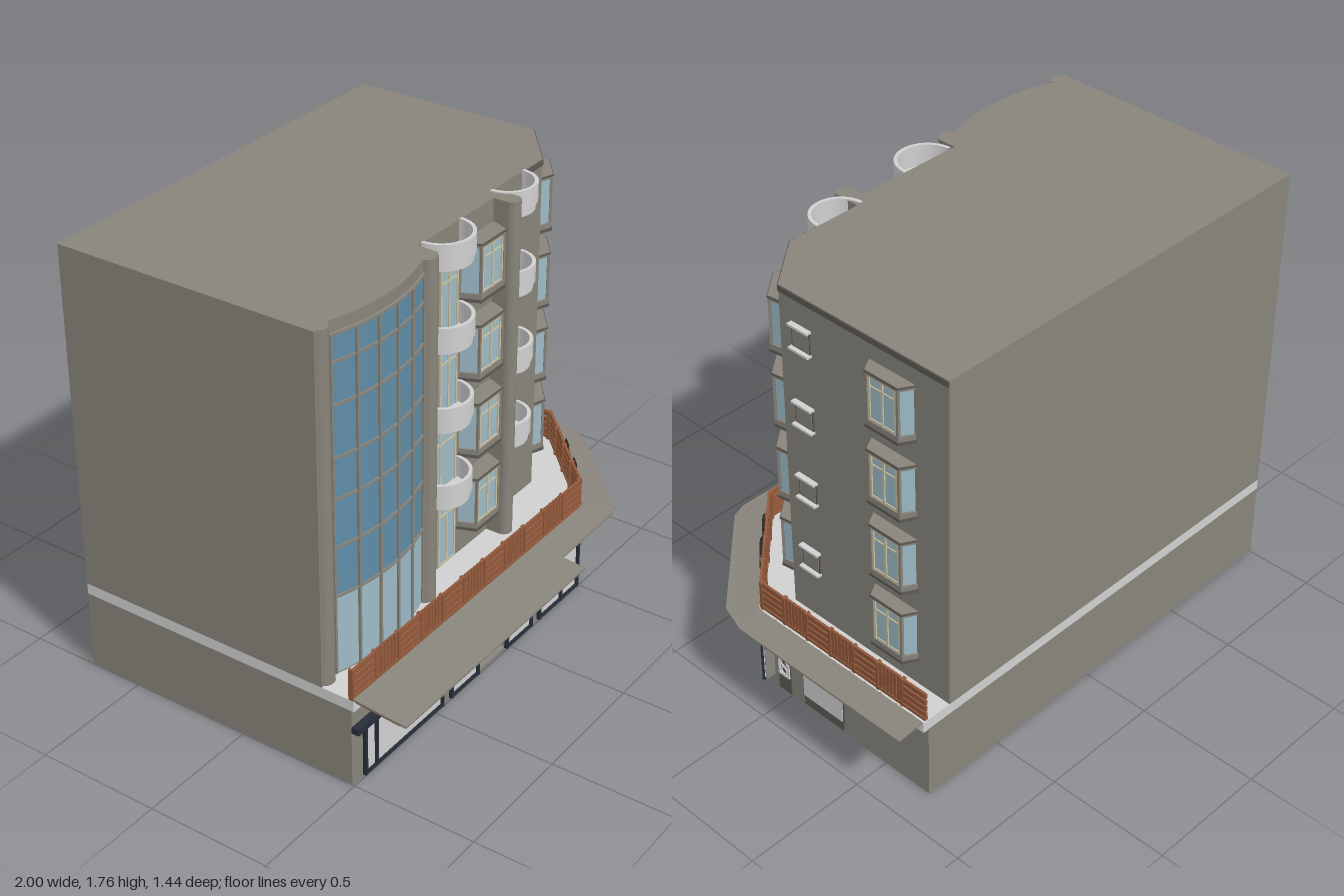
import * as THREE from 'three';

const paint = (name, color) => {
  const m = new THREE.MeshStandardMaterial({ color });
  m.name = name;
  return m;
};

export function createModel() {
  const wall = paint('wall stone', 0x88847b), pale = paint('pale grey', 0xd0d0d0);
  const deepGlass = paint('deep glass', 0x5f8ca6), lightGlass = paint('light glass', 0x9dbac6);
  const wood = paint('wood', 0x935a3c), navy = paint('navy frame', 0x272e3a);
  const beige = paint('beige frame', 0xcbc2a2), trim = paint('dark trim', 0x5d5a54);
  const dark = paint('dark metal', 0x2f2824);
  const root = new THREE.Group();
  root.name = 'cornerBuilding';

  const add = (parent, name, geo, mat, x = 0, y = 0, z = 0) => {
    const m = new THREE.Mesh(geo, mat);
    m.name = name;
    m.position.set(x, y, z);
    parent.add(m);
    return m;
  };
  // Box given by its extents in x, y and z
  const block = (parent, name, mat, x0, x1, y0, y1, z0, z1) =>
    add(parent, name, new THREE.BoxGeometry(x1 - x0, y1 - y0, z1 - z0), mat, (x0 + x1) / 2, (y0 + y1) / 2, (z0 + z1) / 2);
  // Vertical prism over a plan outline of [x, z] points
  const prismGeo = (pts, y0, y1) => {
    const g = new THREE.ExtrudeGeometry(new THREE.Shape(pts.map(([x, z]) => new THREE.Vector2(x, -z))), { depth: y1 - y0, bevelEnabled: false });
    return g.rotateX(-Math.PI / 2).translate(0, y0, 0);
  };
  const prism = (parent, name, mat, pts, y0, y1) => add(parent, name, prismGeo(pts, y0, y1), mat);
  // Group whose local x runs along a wall from a to b, local z pointing outwards
  const along = (name, a, b) => {
    const g = new THREE.Group();
    g.name = name;
    g.position.set(a[0], 0, a[1]);
    g.rotation.y = Math.atan2(a[1] - b[1], b[0] - a[0]);
    g.userData.length = Math.hypot(b[0] - a[0], b[1] - a[1]);
    root.add(g);
    return g;
  };
  const bar = (parent, name, mat, p, q, r) => {
    const a = new THREE.Vector3(...p), d = new THREE.Vector3(...q).sub(a);
    const m = add(parent, name, new THREE.CylinderGeometry(r, r, d.length(), 6), mat);
    m.position.copy(a).addScaledVector(d, 0.5);
    m.quaternion.setFromUnitVectors(new THREE.Vector3(0, 1, 0), d.normalize());
  };

  // Ground floor with door niche and side recess
  prism(root, 'groundFloor', wall, [[-1, -0.72], [-1, 0.49], [-0.22, 0.49], [-0.22, 0.38], [-0.02, 0.38], [-0.02, 0.49],
    [0.49, 0.49], [0.865, 0.13], [0.78, 0.13], [0.78, 0.085], [0.855, 0.085], [0.855, -0.72]], 0.004, 0.325);
  block(root, 'nicheFloor', wall, -0.22, -0.02, 0.002, 0.008, 0.38, 0.49);
  block(root, 'nicheLintel', wall, -0.22, -0.02, 0.24, 0.325, 0.38, 0.49);
  block(root, 'nicheDoor', lightGlass, -0.22, -0.02, 0.008, 0.24, 0.38, 0.386);
  block(root, 'floorHatch', deepGlass, -0.9, -0.56, 0, 0.005, -0.13, 0.07);
  prism(root, 'terraceSlab', pale, [[-1, -0.72], [-1, 0.5], [0.5, 0.5], [0.88, 0.13], [0.88, -0.72]], 0.323, 0.37);

  // Upper floors with a bowed front section
  const bowZ = x => 0.355 + 0.045 * (1 - ((x + 0.655) / 0.265) ** 2);
  const bow = (off, rev) => {
    const p = Array.from({ length: 17 }, (_, i) => -0.92 + 0.53 * i / 16).map(x => [x, bowZ(x) + off]);
    return rev ? p.reverse() : p;
  };
  prism(root, 'upperFloors', wall, [[-1, -0.72], [-1, 0.365], ...bow(0), [-0.31, 0.36], [-0.31, 0.28], [0.155, 0.28],
    [0.155, 0.34], [0.22, 0.34], [0.22, 0.24], [0.54, 0.24], [0.75, 0.07], [0.75, -0.72]], 0.37, 1.76);
  for (const [x, z, r] of [[-0.957, 0.345, 0.038], [-0.35, 0.345, 0.04], [0.1875, 0.338, 0.0325]])
    add(root, 'roundColumn', new THREE.CylinderGeometry(r, r, 1.39, 20), wall, x, 1.065, z);
  [[[0.41, 0.24], [0.54, 0.24]], [[0.54, 0.24], [0.75, 0.07]], [[0.75, 0.07], [0.75, -0.72]]].forEach(([a, b]) => {
    const g = along('roofEdge', a, b);
    block(g, 'roofTrim', trim, 0, g.userData.length, 1.735, 1.758, 0, 0.004);
  });

  // Curtain wall: bowed glass and its grid
  const arc = off => [...bow(-0.01), ...bow(off, true)];
  prism(root, 'curtainGlassLower', lightGlass, arc(0.005), 0.38, 0.70);
  prism(root, 'curtainGlassUpper', deepGlass, arc(0.005), 0.70, 1.71);
  for (const y of [0.70, 0.90, 1.09, 1.25, 1.45, 1.61, 1.71])
    prism(root, 'curtainRail', wall, arc(0.011), y - 0.005, y + 0.005);
  for (let i = 0; i <= 5; i++) {
    const x = -0.915 + 0.104 * i;
    block(root, 'curtainMullion', wall, x - 0.005, x + 0.005, 0.38, 1.71, bowZ(x) - 0.01, bowZ(x) + 0.013);
  }

  // Flat windows in a wall frame
  const flatWindow = (g, x0, x1, y0, y1, z) => {
    block(g, 'windowGlass', lightGlass, x0, x1, y0, y1, z, z + 0.004);
    const t = 0.004, xm = (x0 + x1) / 2, ym = y0 + (y1 - y0) * 0.74;
    for (const x of [x0, xm, x1]) block(g, 'windowPost', beige, x - t, x + t, y0, y1, z, z + 0.008);
    for (const y of [y0, ym, y1]) block(g, 'windowRail', beige, x0, x1, y - t, y + t, z, z + 0.007);
  };
  // Bay window centred on local x = 0
  const bay = (parent, cx, y, w, d) => {
    const g = new THREE.Group();
    g.name = 'bayWindow';
    g.position.set(cx, y, 0);
    parent.add(g);
    const plan = e => [[-w / 2 - e, -0.01], [-w / 2 - e, 0], [-w / 2 + 0.03 - e, d + e], [w / 2 - 0.03 + e, d + e], [w / 2 + e, 0], [w / 2 + e, -0.01]];
    prism(g, 'bayGlass', lightGlass, plan(-0.007), 0.02, 0.215);
    prism(g, 'baySill', trim, plan(0.003), 0, 0.012);
    prism(g, 'bayBase', wall, plan(0), 0.01, 0.032);
    prism(g, 'bayRoof', wall, plan(0), 0.212, 0.23);
    prism(g, 'bayRoofTrim', trim, plan(0.003), 0.222, 0.229);
    const o = w / 2 - 0.034;
    for (const x of [-o, o]) block(g, 'bayCorner', wall, x - 0.005, x + 0.005, 0.02, 0.22, d - 0.01, d);
    for (const x of [-o + 0.011, 0, o - 0.011]) block(g, 'bayMullion', beige, x - 0.004, x + 0.004, 0.032, 0.212, d - 0.01, d - 0.002);
    for (const h of [0.038, 0.17, 0.207]) block(g, 'bayRail', beige, -o, o, h - 0.003, h + 0.003, d - 0.01, d - 0.003);
  };
  const front = along('frontBays', [0, 0.28], [1, 0.28]);
  const corner = along('cornerBays', [0.54, 0.24], [0.75, 0.07]);
  const side = along('sideWallWindows', [0.75, 0], [0.75, -1]);

  // Half-round balcony: parapet, narrower skirt and floor
  const balcony = (x, y, z, r) => {
    const g = new THREE.Group();
    g.name = 'balcony';
    g.position.set(x, y, z);
    root.add(g);
    const prof = [[0, 0], [r - 0.008, 0], [r - 0.008, 0.03], [r, 0.03], [r, 0.105], [r - 0.014, 0.105], [r - 0.014, 0.02], [0, 0.02]];
    const geo = new THREE.LatheGeometry(prof.map(p => new THREE.Vector2(...p)), 24, -Math.PI / 2, Math.PI).toNonIndexed();
    geo.computeVertexNormals();
    add(g, 'balconyShell', geo, pale);
  };
  for (let i = 0; i < 4; i++) {
    const y = 0.48 + 0.32 * i;
    bay(front, 0.055, y, 0.21, 0.07);
    bay(corner, corner.userData.length / 2, y, 0.2, 0.05);
    bay(side, 0.465, y, 0.21, 0.052);
    balcony(-0.17, y + 0.22, 0.28, 0.122);
    balcony(0.305, y + 0.22, 0.24, 0.112);
    flatWindow(front, i === 1 ? -0.265 : -0.175, -0.075, i ? y - 0.1 : 0.38, i === 1 ? 0.98 : y + 0.19, 0);
    flatWindow(front, 0.225, 0.385, i ? y - 0.1 : 0.38, y + 0.19, -0.04);
    // Small side window with projecting sills
    const s = y + 0.105;
    block(side, 'smallWindowFrame', trim, -0.01, 0.08, s, s + 0.09, 0, 0.005);
    block(side, 'smallWindowPane', wall, -0.004, 0.074, s + 0.006, s + 0.084, 0, 0.007);
    for (const h of [s - 0.008, s + 0.088]) block(side, 'smallWindowSill', pale, -0.013, 0.083, h, h + 0.009, 0, 0.022);
  }

  // Sloping canopy around the two street sides
  const canopy = prismGeo([[-1, 0.5], [0.5, 0.5], [0.885, 0.12], [0.885, -0.72], [1, -0.72], [1, 0.1], [0.96, 0.22],
    [0.58, 0.6], [0.52, 0.62], [0.16, 0.62], [0.16, 0.72], [-1, 0.72]], 0.372, 0.38);
  const p = canopy.attributes.position;
  for (let i = 0; i < p.count; i++) {
    const x = p.getX(i), z = p.getZ(i);
    p.setY(i, p.getY(i) - 0.085 * Math.max(0, z - 0.5, x - 0.885, (x + z - 1) / 1.414));
  }
  canopy.computeVertexNormals();
  add(root, 'canopy', canopy, wall);

  // Wooden terrace railing with alternating panels, and rafters below
  const runs = [[[-1, 0.49], [0.49, 0.49], 11, 0.2], [[0.49, 0.49], [0.865, 0.125], 4, 0.1], [[0.865, 0.125], [0.865, -0.72], 7, 0.11]];
  runs.forEach(([a, b, n, reach], k) => {
    const g = along('terraceRailing', a, b), L = g.userData.length, w = L / n;
    block(g, 'bottomRail', wood, 0, L, 0.375, 0.387, -0.008, 0.008);
    for (let i = 0; i < n; i++) {
      const x = i * w;
      block(g, 'railingPost', wood, x, x + 0.012, 0.37, 0.498, -0.012, 0.008);
      if ((i + k) % 2) for (let j = 0; j < 6; j++) {
        const s = x + 0.014 + j * (w - 0.014) / 6;
        block(g, 'uprightSlat', wood, s, s + (w - 0.014) / 6 - 0.004, 0.385, 0.5, -0.005, 0.005);
      } else for (const y of [0.39, 0.418, 0.446, 0.476])
        block(g, 'levelSlat', wood, x, x + w, y, y + 0.021, -0.005, 0.005);
    }
    for (let i = 0; i < n * 1.5; i++) {
      const s = 0.01 + i * (L - 0.03) / (n * 1.5);
      const far = k === 0 && a[0] + s > 0.14 ? 0.11 : reach;
      bar(g, 'canopyRafter', wood, [s, 0.367, 0.012], [s, 0.368 - far * 0.085, far], 0.006);
    }
    if (k !== 1) return;
    // Two bicycles hung on the corner railing
    for (const [x, y] of [[0.15, 0.432], [0.29, 0.436]]) {
      for (const s of [-0.045, 0.045]) {
        add(g, 'bicycleWheel', new THREE.TorusGeometry(0.031, 0.004, 5, 18), dark, x + s, y, 0.014);
        for (let j = 0; j < 3; j++) {
          const c = Math.cos(j * 1.047) * 0.03, v = Math.sin(j * 1.047) * 0.03;
          bar(g, 'wheelSpoke', dark, [x + s - c, y - v, 0.014], [x + s + c, y + v, 0.014], 0.0015);
        }
      }
      const f = [[-0.045, 0], [-0.018, 0.04], [0.03, 0.042], [0, -0.004], [-0.045, 0], [0, -0.004], [-0.02, 0.052], [0.025, 0.055], [0.045, 0]];
      for (let j = 1; j < f.length; j++) bar(g, 'bicycleFrame', dark, [x + f[j - 1][0], y + f[j - 1][1], 0.016], [x + f[j][0], y + f[j][1], 0.016], 0.003);
    }
  });

  // Shopfront glazing: pale panes in navy frames
  const shop = (g, x0, x1, y1, posts, transom) => {
    block(g, 'shopPane', pale, x0, x1, 0.012, y1, 0, 0.004);
    for (const x of posts) block(g, 'shopPost', navy, x - 0.006, x + 0.006, 0.004, y1, 0, 0.014);
    for (const y of [0.01, y1 - 0.006, ...(transom ? [transom] : [])]) block(g, 'shopRail', navy, x0, x1, y - 0.006, y + 0.006, 0, 0.012);
  };
  const street = along('shopFront', [0, 0.49], [1, 0.49]);
  shop(street, -0.93, -0.455, 0.235, [-0.93, -0.865, -0.455]);
  shop(street, -0.395, -0.22, 0.235, [-0.395, -0.22]);
  shop(street, -0.02, 0.15, 0.235, [-0.02, 0.15]);
  shop(street, 0.21, 0.49, 0.318, [0.21, 0.365, 0.485], 0.235);
  block(street, 'awningBeam', navy, -1, 0.175, 0.228, 0.254, 0, 0.03);
  for (const x of [-0.86, -0.28]) {
    block(street, 'transomFrame', navy, x, x + 0.32, 0.254, 0.312, 0, 0.006);
    for (const s of [0.008, 0.164]) block(street, 'transomGlass', lightGlass, x + s, x + s + 0.148, 0.266, 0.304, 0, 0.009);
  }
  add(street, 'roundPlaque', new THREE.CylinderGeometry(0.04, 0.04, 0.02, 24).rotateX(Math.PI / 2), wood, -0.425, 0.275, 0.03);
  const chamfer = along('cornerShop', [0.49, 0.49], [0.865, 0.13]);
  const cl = chamfer.userData.length;
  shop(chamfer, 0, cl, 0.32, [0.006, cl * 0.2, cl * 0.4, cl * 0.6, cl * 0.8, cl - 0.006], 0.255);

  // Side street: display window and grille door
  const lane = along('sideStreet', [0.855, 0], [0.855, -1]);
  block(lane, 'displayFrame', trim, 0.075, 0.293, 0.06, 0.275, 0, 0.006);
  block(lane, 'displayPane', pale, 0.081, 0.287, 0.066, 0.269, 0, 0.009);
  block(lane, 'displayPlinth', trim, 0.08, 0.288, 0.018, 0.06, 0, 0.004);
  block(lane, 'grilleDoor', trim, -0.06, 0.006, 0.012, 0.295, 0, 0.004);
  for (const x of [-0.052, -0.002]) block(lane, 'grillePost', pale, x - 0.004, x + 0.004, 0.09, 0.29, 0, 0.01);
  for (const y of [0.094, 0.286]) block(lane, 'grilleRail', pale, -0.056, 0.002, y - 0.004, y + 0.004, 0, 0.01);
  for (let i = 0; i < 5; i++) add(lane, 'grilleRing', new THREE.TorusGeometry(0.016, 0.004, 5, 14), pale, -0.027, 0.116 + i * 0.0365, 0.006);

  // Chairs in the door niche
  for (const x of [-0.105, -0.045]) {
    const g = new THREE.Group();
    g.name = 'chair';
    g.position.set(x, 0.008, 0.45);
    root.add(g);
    block(g, 'chairSeat', wood, -0.022, 0.022, 0.042, 0.05, -0.022, 0.022);
    block(g, 'chairBack', wood, -0.022, 0.022, 0.066, 0.088, -0.022, -0.016);
    for (const sx of [-0.02, 0.02]) for (const sz of [-0.019, 0.019])
      bar(g, 'chairLeg', dark, [sx, 0, sz], [sx, sz < 0 ? 0.085 : 0.045, sz], 0.003);
  }
  return root;
}
